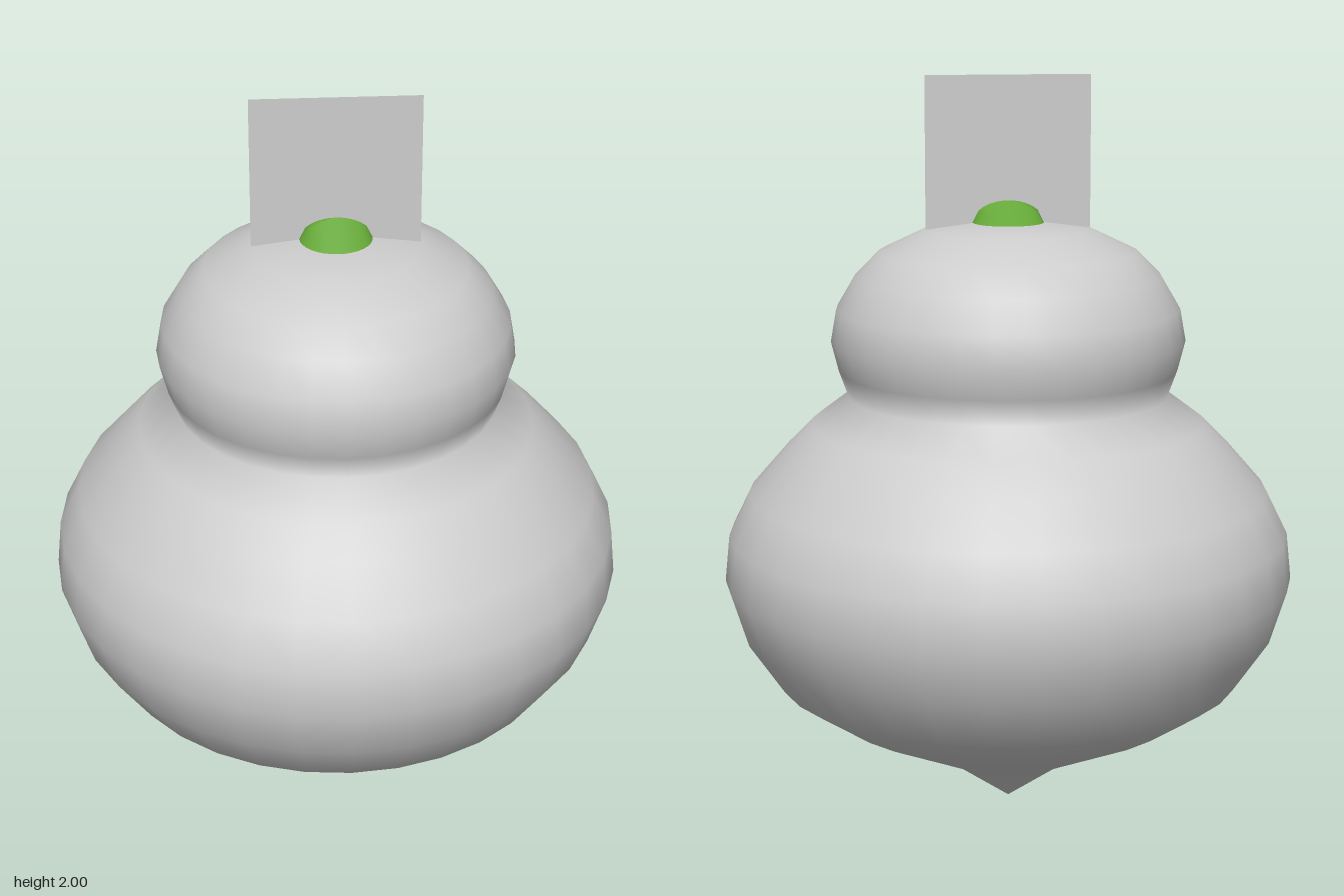
import * as THREE from 'three';

export function createModel() {
  const model = new THREE.Group();
  const shell = new THREE.MeshStandardMaterial({ color: 0xcccccc, side: THREE.DoubleSide });
  shell.name = 'pale grey';
  const green = new THREE.MeshStandardMaterial({ color: 0x64a637, side: THREE.DoubleSide });
  green.name = 'leaf green';

  const add = (name, geometry, material) => {
    const mesh = new THREE.Mesh(geometry, material);
    mesh.name = name;
    model.add(mesh);
    return mesh;
  };

  // Two-tier turned body, pointed at the foot: [radius, height]
  const profile = [
    [0, 0], [0.17, 0.12], [0.48, 0.265], [0.63, 0.365], [0.725, 0.505],
    [0.77, 0.65], [0.757, 0.775], [0.70, 0.89], [0.60, 1.005], [0.53, 1.075],
    [0.43, 1.15], [0.455, 1.22], [0.475, 1.30], [0.46, 1.385], [0.41, 1.47],
    [0.345, 1.535], [0.22, 1.595], [0.095, 1.611], [0, 1.611],
  ].map(([r, y]) => new THREE.Vector2(r, y));
  add('body', new THREE.LatheGeometry(profile, 32), shell);

  // Green tip: round outline, raised to a ridge along x
  const radius = 0.095;
  const tip = new THREE.RingGeometry(0, radius, 32, 6).rotateX(-Math.PI / 2);
  const p = tip.attributes.position;
  for (let i = 0; i < p.count; i++) {
    const reach = Math.sqrt(Math.max(0, radius ** 2 - p.getX(i) ** 2));
    p.setY(i, 0.058 * Math.max(0, reach - Math.abs(p.getZ(i))) / radius);
  }
  tip.computeVertexNormals();
  add('tip', tip, green).position.y = 1.612;

  // Thin upright tag standing across the top
  add('tag', new THREE.PlaneGeometry(0.44, 0.405), shell).position.y = 1.7975;

  return model;
}
